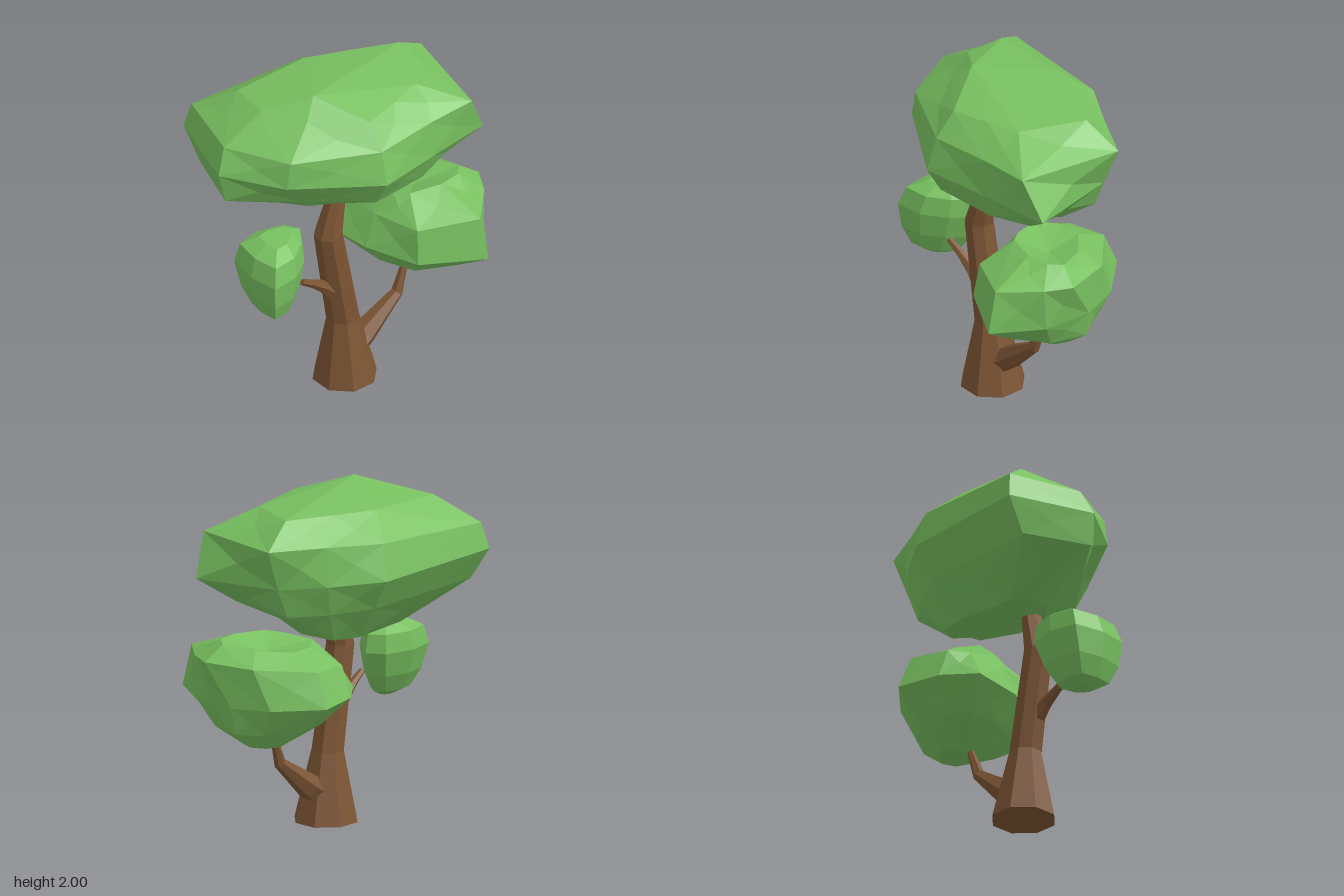
import * as THREE from 'three';

const leaf = new THREE.MeshStandardMaterial({ color: 0x78c060, flatShading: true });
const bark = new THREE.MeshStandardMaterial({ color: 0x7d5534, flatShading: true });

const middle = (pts) =>
  pts.reduce((s, p) => s.add(p), new THREE.Vector3()).divideScalar(pts.length);

// Skins a stack of point rings (bottom to top) and closes both ends with fans
function loft(name, rings, material, peak) {
  const n = rings[0].length;
  const pos = [];
  const fan = (centre, p, q) => [centre, p, q].forEach((v) => pos.push(v.x, v.y, v.z));
  const first = rings[0];
  const last = rings[rings.length - 1];
  const bottom = middle(first);
  const top = peak || middle(last);
  for (let j = 0; j < n; j++) {
    const k = (j + 1) % n;
    fan(bottom, first[k], first[j]);
    fan(top, last[j], last[k]);
    for (let i = 0; i < rings.length - 1; i++) {
      // Each panel is split around its centre, so twisted panels bend evenly
      const quad = [rings[i][j], rings[i][k], rings[i + 1][k], rings[i + 1][j]];
      const centre = middle(quad);
      quad.forEach((p, c) => fan(centre, p, quad[(c + 1) % 4]));
    }
  }
  const geometry = new THREE.BufferGeometry();
  geometry.setAttribute('position', new THREE.Float32BufferAttribute(pos, 3));
  geometry.computeVertexNormals();
  const mesh = new THREE.Mesh(geometry, material);
  mesh.name = name;
  return mesh;
}

// Ring from an x, z outline; the height may slope along x and z
function ring(y, xz, slopeX = 0, slopeZ = 0) {
  const pts = [];
  for (let i = 0; i < xz.length; i += 2) {
    pts.push(new THREE.Vector3(xz[i], y + slopeX * xz[i] + slopeZ * xz[i + 1], xz[i + 1]));
  }
  return pts;
}

// Tapered limb through [x, y, z, radius, lean] stations
function limb(name, stations, sides) {
  const rings = stations.map(([x, y, z, r, lean]) =>
    Array.from({ length: sides }, (_, i) => {
      const t = ((i + 0.5) / sides) * Math.PI * 2;
      const u = -Math.cos(t) * r;
      return new THREE.Vector3(x + u * Math.cos(lean), y - u * Math.sin(lean), z + Math.sin(t) * r);
    }));
  return loft(name, rings, bark);
}

export function createModel() {
  const tree = new THREE.Group();
  tree.name = 'tree';

  // Trunk and the two side branches
  tree.add(
    limb('trunk', [
      [-0.05, 0, 0.075, 0.19, 0],
      [-0.065, 0.41, 0.075, 0.097, 0],
      [-0.17, 1.02, 0.075, 0.085, 0],
      [-0.105, 1.28, 0.075, 0.055, 0],
    ], 8),
    limb('leftBranch', [
      [0.0, 0.17, 0.075, 0.085, 0.9],
      [0.09, 0.225, 0.075, 0.077, 0.9],
      [0.325, 0.41, 0.085, 0.036, 0.7],
      [0.395, 0.6, 0.075, 0.018, 0.35],
    ], 6),
    limb('rightBranch', [
      [-0.12, 0.6, 0.08, 0.065, -0.8],
      [-0.21, 0.68, 0.09, 0.04, -0.8],
      [-0.3, 0.745, 0.1, 0.026, -0.95],
      [-0.39, 0.8, 0.11, 0.018, -0.95],
    ], 6),
  );

  // Large crown on top of the trunk, with a twisted hollow at its left end
  tree.add(loft('topCrown', [
    ring(1.235, [-0.36, -0.15, -0.28, 0.04, -0.1, 0.18, 0.1, 0.16, 0.25, 0.08,
      0.35, -0.1, 0.25, -0.26, 0.08, -0.3, -0.3, -0.27], 0, 0.19),
    ring(1.39, [-0.78, -0.1, -0.44, 0.16, -0.1, 0.42, 0.28, 0.37, 0.5, 0.26,
      0.55, -0.18, 0.36, -0.34, 0.12, -0.46, -0.64, -0.5], -0.04),
    ring(1.57, [-0.82, -0.11, -0.59, 0.22, -0.1, 0.52, 0.3, 0.44, 0.73, 0.36,
      0.63, -0.18, 0.43, -0.38, 0.15, -0.58, -0.66, -0.625], -0.04, -0.02),
    ring(1.77, [-0.75, -0.15, -0.56, 0.22, -0.09, 0.46, 0.3, 0.42, 0.61, 0.41,
      0.73, -0.2, 0.42, -0.36, 0.12, -0.53, -0.63, -0.59], 0.03, -0.02),
    ring(1.912, [-0.5, -0.12, -0.36, 0.12, -0.08, 0.34, 0.15, 0.28, 0.35, 0.22,
      0.52, -0.14, 0.25, -0.26, 0, -0.36, -0.48, -0.36], 0.02, -0.04),
  ], leaf, new THREE.Vector3(-0.26, 2, 0.05)));

  // Medium crown on the left branch, with a dished top
  tree.add(loft('leftCrown', [
    ring(0.565, [0.4, 0.02, 0.38, 0.08, 0.41, 0.16, 0.5, 0.17, 0.57, 0.14,
      0.6, 0.06, 0.56, -0.02, 0.48, -0.06, 0.42, -0.04]),
    ring(0.7, [0.18, -0.12, 0.19, 0.1, 0.28, 0.3, 0.52, 0.4, 0.68, 0.26,
      0.74, 0.05, 0.65, -0.09, 0.48, -0.22, 0.29, -0.2], -0.04),
    ring(0.85, [0.02, -0.2, 0.07, 0.12, 0.2, 0.43, 0.56, 0.62, 0.74, 0.34,
      0.77, 0.05, 0.69, -0.18, 0.47, -0.41, 0.2, -0.35], -0.02, -0.03),
    ring(1.02, [0.13, -0.17, 0.15, 0.1, 0.22, 0.4, 0.55, 0.56, 0.74, 0.36,
      0.82, 0.21, 0.73, -0.08, 0.45, -0.33, 0.2, -0.28], 0.08, 0.01),
    ring(1.14, [0.19, -0.04, 0.25, 0.14, 0.31, 0.22, 0.5, 0.27, 0.64, 0.25,
      0.7, 0.18, 0.62, 0, 0.45, -0.14, 0.3, -0.13], 0.02, 0.1),
  ], leaf, new THREE.Vector3(0.45, 1.1, 0.08)));

  // Small crown on the right branch: one outline scaled and shifted by level
  const plan = [-0.72, 0.06, -0.69, 0.24, -0.52, 0.22, -0.38, 0.12,
    -0.28, -0.02, -0.34, -0.12, -0.52, -0.17, -0.69, -0.13];
  const levels = [[0.65, 0.25], [0.69, 0.58], [0.8, 0.84], [0.95, 1], [1.06, 0.88], [1.11, 0.45]];
  tree.add(loft('rightCrown', levels.map(([y, s]) => {
    const shift = (y - 0.95) * 0.1;
    return ring(y, plan.map((v, i) => {
      const c = i % 2 ? 0.04 : -0.51;
      return c + (v - c) * s + (i % 2 ? -shift : shift);
    }));
  }), leaf));

  return tree;
}
